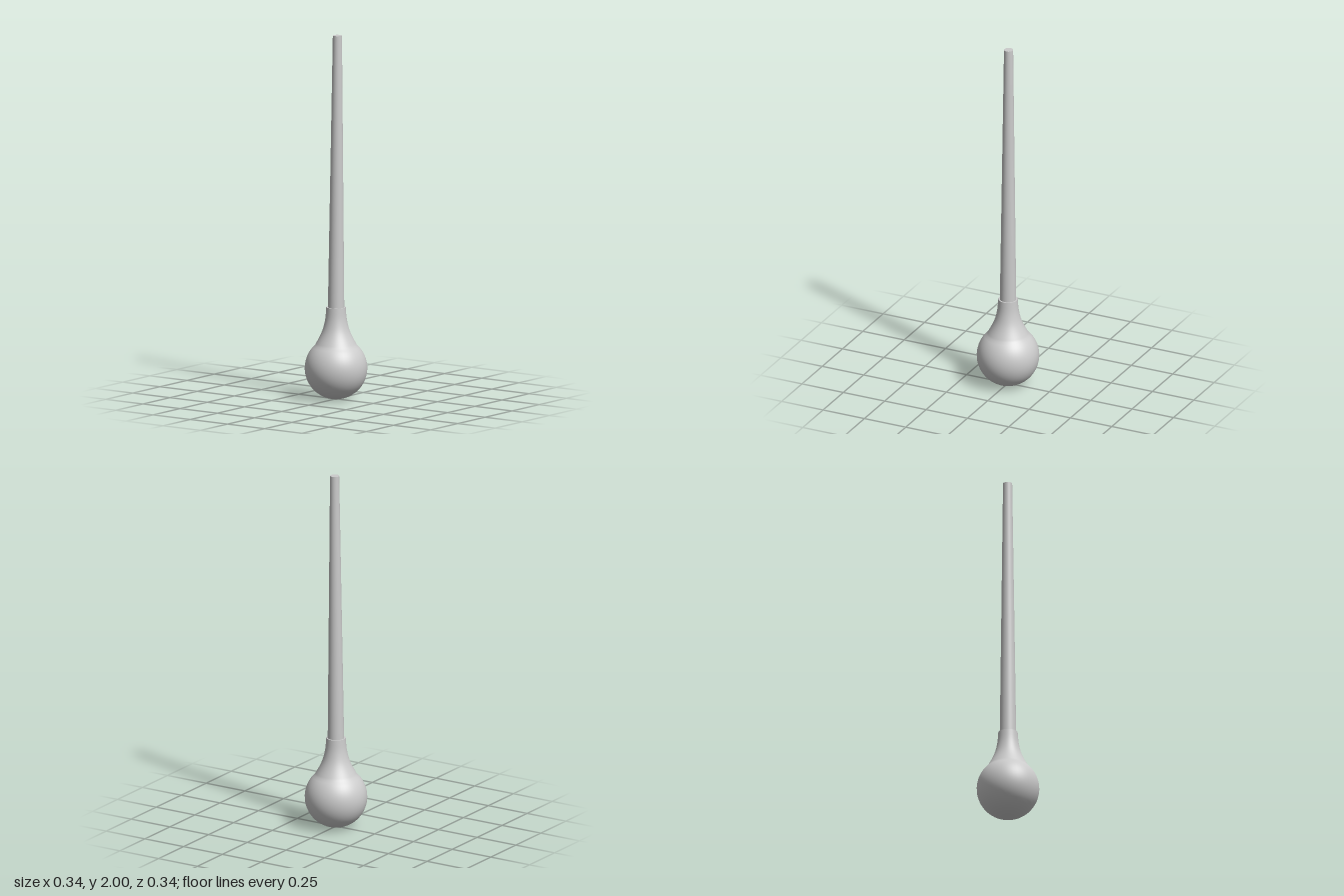
import * as THREE from 'three';

const material = new THREE.MeshStandardMaterial({ color: 0xcccccc });

function lathe(name, points, segments) {
  const profile = points.map(([r, y]) => new THREE.Vector2(r, y));
  const mesh = new THREE.Mesh(new THREE.LatheGeometry(profile, segments), material);
  mesh.name = name;
  return mesh;
}

export function createModel() {
  const group = new THREE.Group();
  const R = 0.17;

  // Round bulb: lower sphere arc running up to the start of the neck
  const bulb = [];
  const steps = 24, endAngle = 2.4;
  for (let i = 0; i <= steps; i++) {
    const a = (i / steps) * endAngle;
    bulb.push([R * Math.sin(a), R - R * Math.cos(a)]);
  }
  // Concave neck flowing into the collar
  const neck = new THREE.SplineCurve([
    [bulb[steps][0], bulb[steps][1]], [0.088, 0.345], [0.07, 0.39], [0.058, 0.445], [0.053, 0.505],
  ].map(([r, y]) => new THREE.Vector2(r, y)));
  const neckPoints = neck.getPoints(14).slice(1).map((p) => [p.x, p.y]);
  group.add(lathe('bulb', [...bulb, ...neckPoints], 48));

  // Flat rim closing the neck around the rod
  group.add(lathe('collarRim', [[0.053, 0.505], [0.04, 0.505]], 48));

  // Long tapered rod, leaning very slightly off the axis
  const y0 = 0.4, y1 = 2;
  const rod = new THREE.Mesh(new THREE.CylinderGeometry(0.025, 0.046, y1 - y0, 32, 8), material);
  rod.name = 'rod';
  rod.geometry.translate(0, (y0 + y1) / 2, 0);
  const pos = rod.geometry.attributes.position;
  for (let i = 0; i < pos.count; i++) {
    const t = (pos.getY(i) - y0) / (y1 - y0);
    pos.setX(i, pos.getX(i) + 0.006 * t);
    pos.setZ(i, pos.getZ(i) + 0.005 * t);
  }
  group.add(rod);
  return group;
}
